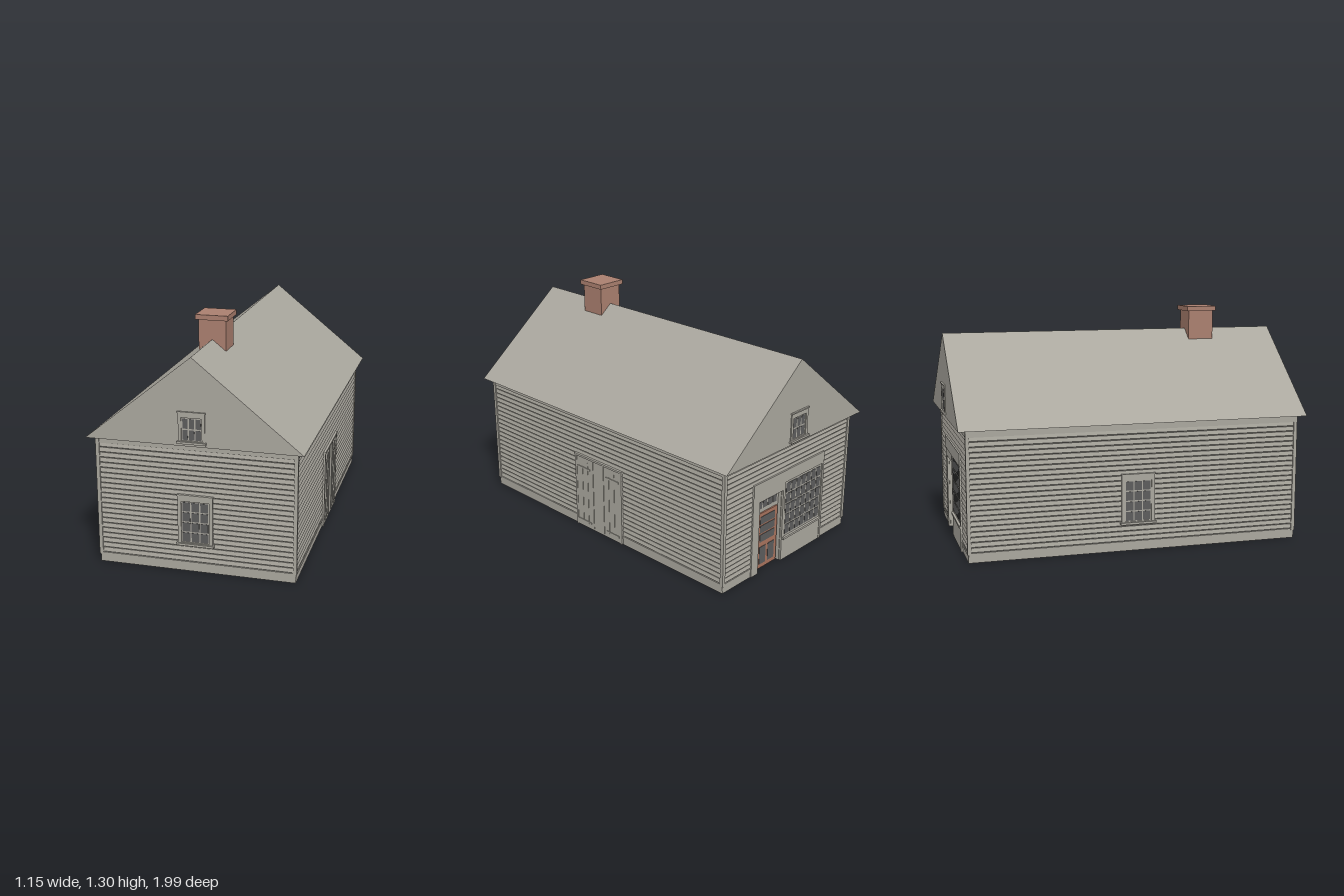
import * as THREE from 'three';

const mat = (name, color) => {
  const m = new THREE.MeshStandardMaterial({ color });
  m.name = name;
  return m;
};

export function createModel() {
  const wood = mat('weathered grey', 0xaaa79e);
  const glass = mat('dark glass', 0x5c5c5c);
  const brick = mat('chimney brick', 0xaa7f6f);
  const doorPaint = mat('door paint', 0xa8735e);

  const house = new THREE.Group();
  house.name = 'house';
  const HX = 0.537, HZ = 0.937, EAVE = 0.71, RIDGE = 1.17;
  const PITCH = 0.0283, ROW0 = 0.052, ROWS = 22;

  const add = (parent, name, geo, m) => {
    const mesh = new THREE.Mesh(geo, m);
    mesh.name = name;
    parent.add(mesh);
    return mesh;
  };
  const box = (parent, name, m, x0, x1, y0, y1, z0, z1) => {
    const mesh = add(parent, name, new THREE.BoxGeometry(x1 - x0, y1 - y0, z1 - z0), m);
    mesh.position.set((x0 + x1) / 2, (y0 + y1) / 2, (z0 + z1) / 2);
    return mesh;
  };
  // Each side is built facing +z, with z as distance from the house centre
  const side = (name, angle) => {
    const g = new THREE.Group();
    g.name = name;
    g.rotation.y = angle;
    house.add(g);
    return g;
  };
  // Rectangular ring with a hole, extruded outward
  const ring = (parent, name, m, o, h, z0, z1) => {
    const rect = (C, [x0, x1, y0, y1]) => {
      const p = new C();
      p.moveTo(x0, y0); p.lineTo(x1, y0); p.lineTo(x1, y1); p.lineTo(x0, y1); p.closePath();
      return p;
    };
    const s = rect(THREE.Shape, o);
    s.holes.push(rect(THREE.Path, h));
    add(parent, name, new THREE.ExtrudeGeometry(s, { depth: z1 - z0, bevelEnabled: false }), m).position.z = z0;
  };
  // Grid of thin panes
  const panes = (parent, cols, rows, x0, x1, y0, y1, z, gap) => {
    const w = (x1 - x0 + gap) / cols, h = (y1 - y0 + gap) / rows;
    for (let i = 0; i < cols; i++) for (let j = 0; j < rows; j++)
      box(parent, 'pane', glass, x0 + i * w, x0 + (i + 1) * w - gap, y0 + j * h, y0 + (j + 1) * h - gap, z - 0.002, z);
  };
  // Clapboards: saw-tooth profile extruded along the wall
  const clapboards = (parent, D, x0, x1, r0, r1) => {
    const s = new THREE.Shape();
    s.moveTo(D - 0.02, ROW0 + r0 * PITCH);
    for (let r = r0; r < r1; r++) {
      const y = ROW0 + r * PITCH;
      s.lineTo(D - 0.011, y);
      s.lineTo(D - 0.004, y + 0.006);
      s.lineTo(D - 0.009, y + PITCH - 0.0005);
    }
    s.lineTo(D - 0.02, ROW0 + r1 * PITCH);
    s.closePath();
    const geo = new THREE.ExtrudeGeometry(s, { depth: x1 - x0, bevelEnabled: false });
    geo.rotateY(-Math.PI / 2);
    add(parent, 'clapboards', geo, wood).position.x = x1;
  };
  // Sash window with frame, sill and cap
  const sashWindow = (parent, D, o, p, cols, rows) => {
    const g = new THREE.Group();
    g.name = 'window';
    parent.add(g);
    const [w, y0, y1] = o, [pw, py0, py1] = p;
    ring(g, 'windowFrame', wood, [-w, w, y0, y1], [-pw - 0.006, pw + 0.006, py0 - 0.004, py1 + 0.006], D - 0.015, D + 0.006);
    box(g, 'sash', wood, -pw - 0.006, pw + 0.006, py0 - 0.004, py1 + 0.006, D - 0.014, D - 0.001);
    panes(g, cols, rows, -pw, pw, py0, py1, D + 0.0005, 0.007);
    box(g, 'sill', wood, -w - 0.007, w + 0.007, y0 - 0.006, y0 + 0.006, D - 0.01, D + 0.015);
    box(g, 'windowCap', wood, -w - 0.004, w + 0.004, y1 - 0.004, y1 + 0.003, D - 0.01, D + 0.01);
  };

  const front = side('frontWall', 0), back = side('backWall', Math.PI);
  const left = side('leftWall', Math.PI / 2), right = side('rightWall', -Math.PI / 2);

  // Shared wall trim: plinth, corner boards, frieze
  for (const [g, D, W] of [[front, HZ, HX], [back, HZ, HX], [left, HX, HZ], [right, HX, HZ]]) {
    const spans = g === back ? [[-W + 0.006, -0.3], [0.3, W - 0.006]] : [[-W + 0.006, W - 0.006]];
    for (const [a, b] of spans) {
      box(g, 'plinth', wood, a, b, 0, 0.036, D - 0.02, D - 0.005);
      box(g, 'plinthCap', wood, a, b, 0.036, 0.053, D - 0.02, D - 0.003);
      clapboards(g, D, a, b, 0, ROWS);
    }
    for (const s of [-1, 1]) {
      const a = s * (W - 0.02), b = s * W;
      box(g, 'cornerBoard', wood, Math.min(a, b), Math.max(a, b), 0.045, EAVE, D - 0.02, D);
    }
    box(g, 'frieze', wood, -W + 0.02, W - 0.02, 0.672, EAVE, D - 0.02, D - 0.002);
  }
  clapboards(back, HZ, -0.3, 0.3, 17, ROWS);

  // Windows
  sashWindow(front, HZ, [0.094, 0.156, 0.428], [0.069, 0.17, 0.388], 3, 4);
  sashWindow(right, HX, [0.094, 0.156, 0.428], [0.069, 0.17, 0.388], 3, 4);
  for (const g of [front, back])
    sashWindow(g, 0.978, [0.07, 0.731, 0.89], [0.048, 0.744, 0.855], 3, 2);

  // Barn doors on the left wall
  const barn = new THREE.Group();
  barn.name = 'barnDoors';
  left.add(barn);
  box(barn, 'doorLeaves', wood, -0.19, 0.19, 0.003, 0.447, HX - 0.015, HX + 0.003);
  box(barn, 'doorHeader', wood, -0.195, 0.195, 0.445, 0.457, HX - 0.015, HX + 0.009);
  for (const s of [-1, 1]) {
    const strip = (name, a, b, y0, y1, z) =>
      box(barn, name, wood, Math.min(s * a, s * b), Math.max(s * a, s * b), y0, y1, HX, HX + z);
    strip('doorJamb', 0.176, 0.19, 0, 0.445, 0.005);
    strip('doorStile', 0.04, 0.046, 0.015, 0.445, 0.006);
    for (const x of [0.087, 0.13]) strip('batten', x - 0.002, x + 0.002, 0.02, 0.42, 0.005);
    for (const y of [0.04, 0.38]) strip('strapHinge', 0.065, 0.168, y - 0.005, y + 0.005, 0.007);
  }

  // Shopfront on the back wall, with a recessed door
  const shop = new THREE.Group();
  shop.name = 'shopfront';
  back.add(shop);
  const Z = HZ - 0.02, F = HZ + 0.001;
  box(shop, 'shopHeader', wood, -0.305, 0.305, 0.475, 0.545, Z, F + 0.003);
  box(shop, 'lintel', wood, -0.25, -0.05, 0.43, 0.475, Z, F);
  box(shop, 'shopPost', wood, -0.305, -0.25, 0, 0.475, Z, F);
  box(shop, 'shopPost', wood, -0.052, -0.035, 0, 0.475, Z, F);
  box(shop, 'shopPost', wood, 0.292, 0.307, 0, 0.475, Z, F + 0.003);
  box(shop, 'stallBoard', wood, -0.04, 0.295, 0, 0.135, Z, F);
  box(shop, 'shopSill', wood, -0.045, 0.3, 0.128, 0.14, Z, F + 0.009);
  box(shop, 'shopSash', wood, -0.04, 0.295, 0.135, 0.478, Z, F - 0.004);
  panes(shop, 7, 5, -0.024, 0.282, 0.152, 0.46, F - 0.0025, 0.008);
  const DZ = HZ - 0.03;
  for (const x of [-0.25, -0.052])
    box(shop, 'doorReveal', wood, x - 0.004, x + 0.004, 0, 0.475, DZ - 0.01, Z + 0.01);
  box(shop, 'transom', wood, -0.25, -0.052, 0.345, 0.475, DZ - 0.01, DZ);
  panes(shop, 4, 1, -0.228, -0.072, 0.365, 0.405, DZ + 0.002, 0.008);
  box(shop, 'doorCasing', wood, -0.25, -0.052, 0, 0.345, DZ - 0.012, DZ - 0.002);
  box(shop, 'shopDoor', doorPaint, -0.234, -0.066, 0.005, 0.34, DZ - 0.008, DZ + 0.006);
  panes(shop, 1, 3, -0.212, -0.088, 0.165, 0.318, DZ + 0.008, 0.009);
  panes(shop, 2, 1, -0.212, -0.088, 0.03, 0.135, DZ + 0.008, 0.018);

  // Gabled roof with flush pediments
  const gable = new THREE.Shape();
  gable.moveTo(-0.574, EAVE);
  gable.lineTo(0.574, EAVE);
  gable.lineTo(0, RIDGE + 0.003);
  gable.closePath();
  add(house, 'roof', new THREE.ExtrudeGeometry(gable, { depth: 1.956, bevelEnabled: false }), wood).position.z = -0.978;

  // Chimney
  box(house, 'chimney', brick, -0.074, 0.074, 1.0, 1.28, 0.449, 0.597);
  box(house, 'chimneyCap', brick, -0.088, 0.088, 1.277, 1.304, 0.435, 0.611);

  return house;
}
